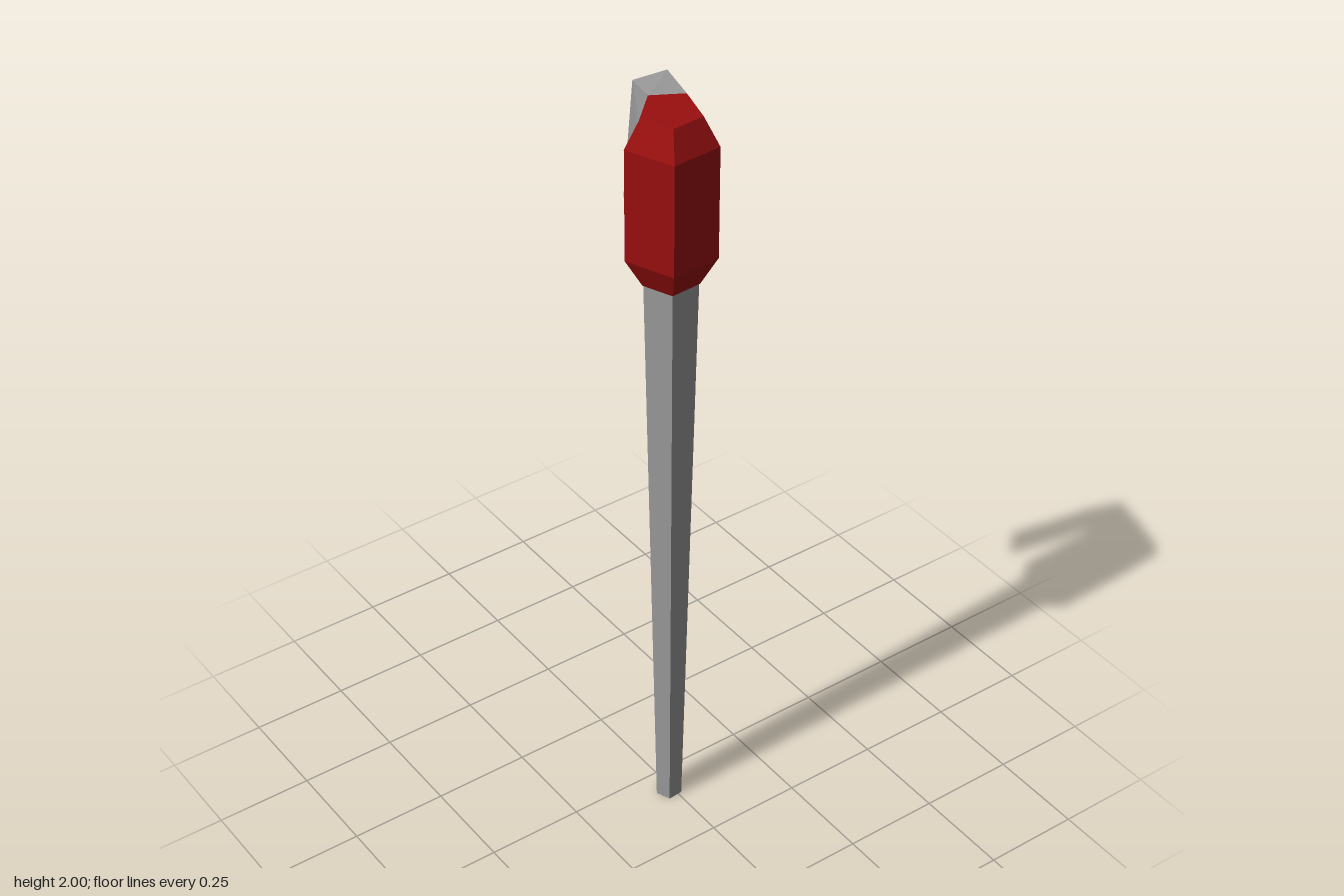
import * as THREE from 'three';

const SIDES = 5, TURN = THREE.MathUtils.degToRad(40);
const CX = -0.011, CZ = 0.071; // axis of the pen body

// Pentagon ring around the body axis
function ring(radius, y) {
  return Array.from({ length: SIDES }, (_, i) => {
    const t = TURN + (i * Math.PI * 2) / SIDES;
    return new THREE.Vector3(CX + Math.sin(t) * radius, y, CZ + Math.cos(t) * radius);
  });
}

// Flat-faced skin over a series of rings, with optional end caps
function loft(name, rings, material, capStart = true) {
  const pos = [];
  const tri = (...pts) => pts.forEach((p) => pos.push(p.x, p.y, p.z));
  const n = rings[0].length;
  for (let r = 0; r < rings.length - 1; r++) {
    const a = rings[r], b = rings[r + 1];
    for (let i = 0; i < n; i++) {
      const j = (i + 1) % n;
      tri(a[i], a[j], b[j]);
      tri(a[i], b[j], b[i]);
    }
  }
  const first = rings[0], last = rings[rings.length - 1];
  for (let i = 1; i < n - 1; i++) {
    if (capStart) tri(first[0], first[i + 1], first[i]);
    tri(last[0], last[i], last[i + 1]);
  }
  const geometry = new THREE.BufferGeometry();
  geometry.setAttribute('position', new THREE.Float32BufferAttribute(pos, 3));
  geometry.computeVertexNormals();
  const mesh = new THREE.Mesh(geometry, material);
  mesh.name = name;
  return mesh;
}

export function createModel() {
  const model = new THREE.Group();
  model.name = 'pin';
  const grey = new THREE.MeshStandardMaterial({ name: 'grey metal', color: 0x999999 });
  const red = new THREE.MeshStandardMaterial({ name: 'dark red', color: 0x990f0f });
  const v = (x, y, z) => new THREE.Vector3(x, y, z);

  // Tapered shaft
  model.add(loft('shaft', [ring(0.033, 0), ring(0.066, 1.57)], grey));

  // Bevelled head, its top edge drawn out towards the clip
  const shoulder = ring(0.11, 1.925);
  const top = ring(0.072, 1.995);
  top[1].set(0.059, 2, 0.032);
  top[2].set(-0.015, 2, -0.01);
  model.add(loft('head', [ring(0.068, 1.565), ring(0.11, 1.64), shoulder, top], red));

  // Clip grown from the head's rear bevel, bent down along its back
  model.add(loft('clip', [
    [top[2], top[1], shoulder[1], shoulder[2]],
    [v(0.013, 1.984, -0.108), v(0.086, 2, -0.078), v(0.105, 1.94, -0.024), v(-0.014, 1.903, -0.055)],
    [v(0.025, 1.655, -0.163), v(0.101, 1.675, -0.139), v(0.116, 1.645, -0.068), v(-0.003, 1.607, -0.101)],
  ], grey, false));

  return model;
}
